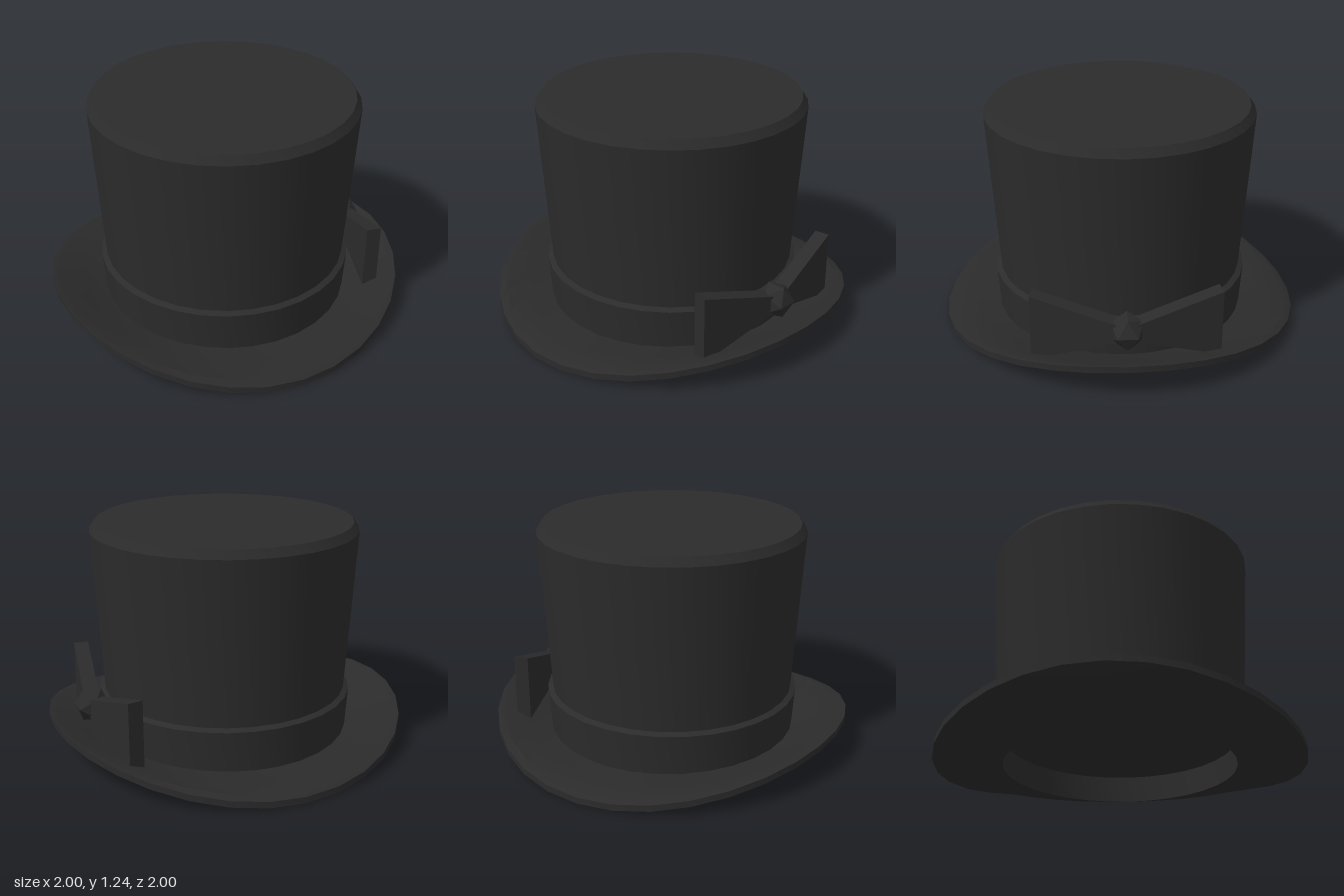
import * as THREE from 'three';
import { toCreasedNormals } from 'three/addons/utils/BufferGeometryUtils.js';

const SIDES = 32;

function lathe(points) {
  return new THREE.LatheGeometry(points.map(([r, y]) => new THREE.Vector2(r, y)), SIDES);
}

export function createModel() {
  const hat = new THREE.Group();
  hat.name = 'topHat';
  const felt = new THREE.MeshStandardMaterial({ color: 0x2b2b2b });
  felt.name = 'blackFelt';

  function add(name, geometry, parent = hat) {
    const mesh = new THREE.Mesh(geometry, felt);
    mesh.name = name;
    parent.add(mesh);
    return mesh;
  }

  // Brim with its head opening, curled upward towards the left and right
  const brim = lathe([
    [0, 0.15], [0.63, 0.15], [0.63, 0], [0.83, 0], [1, 0],
    [1, 0.035], [0.96, 0.055], [0.82, 0.058], [0.66, 0.06],
  ]);
  const p = brim.attributes.position;
  for (let i = 0; i < p.count; i++) {
    const x = p.getX(i), r = Math.hypot(x, p.getZ(i));
    if (r < 0.635) continue;
    const lift = 0.17 * Math.pow((r - 0.63) / 0.37, 1.7);
    p.setY(i, p.getY(i) + lift * (x / r) ** 2);
  }
  add('brim', toCreasedNormals(brim, 0.5));

  // Crown, flaring to a bevelled flat top
  add('crown', toCreasedNormals(lathe([
    [0.675, 0.2], [0.735, 1.195], [0.705, 1.24], [0, 1.24],
  ]), 0.5));

  // Ribbon band round the foot of the crown
  add('band', toCreasedNormals(lathe([
    [0.695, 0.04], [0.71, 0.285], [0.675, 0.302],
  ]), 0.5));

  // Bow on the left side: two flared wings and a faceted knot
  const bow = new THREE.Group();
  bow.name = 'bow';
  bow.position.set(0.787, 0.278, 0);
  hat.add(bow);

  const outline = new THREE.Shape([
    new THREE.Vector2(0, -0.037), new THREE.Vector2(0.494, -0.187),
    new THREE.Vector2(0.494, 0.187), new THREE.Vector2(0, 0.037),
  ]);
  const wing = new THREE.ExtrudeGeometry(outline, { depth: 0.083, bevelEnabled: false });
  wing.translate(0, 0, -0.0415);
  for (const side of [-1, 1]) {
    const mesh = add(side > 0 ? 'frontBowWing' : 'backBowWing', wing, bow);
    mesh.rotation.y = -side * (Math.PI / 2 + 0.173);
  }
  add('bowKnot', new THREE.IcosahedronGeometry(0.1, 0), bow);

  return hat;
}
